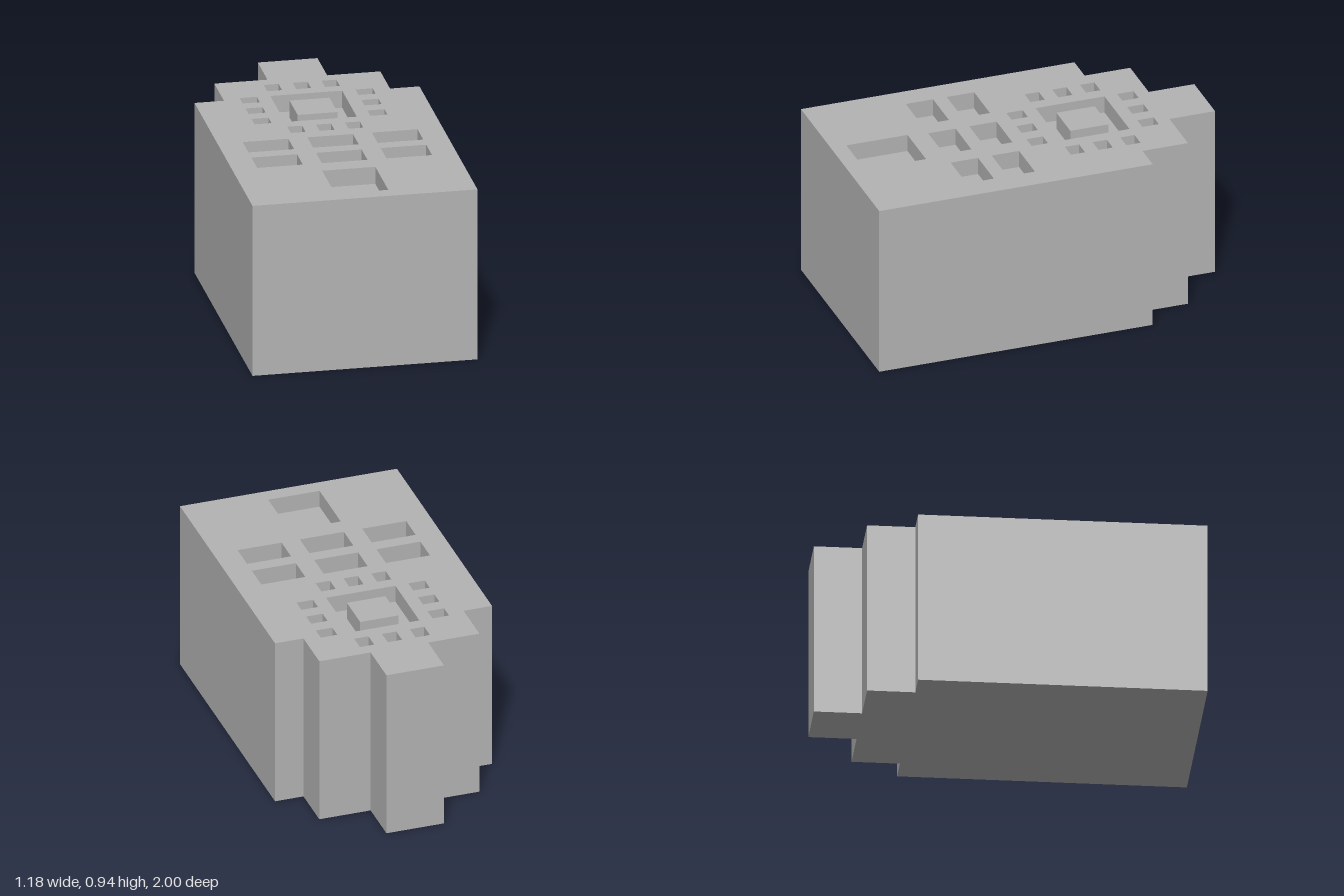
import * as THREE from 'three';

const HEIGHT = 0.94;
const RECESS = 0.094;

// Rectangle given by centre (x, z) and size, drawn in plan with shape y = -z
function rect(Type, x, z, w, d) {
  const p = new Type();
  p.moveTo(x - w / 2, -z - d / 2);
  p.lineTo(x + w / 2, -z - d / 2);
  p.lineTo(x + w / 2, -z + d / 2);
  p.lineTo(x - w / 2, -z + d / 2);
  p.closePath();
  return p;
}

// Stepped plan outline, mirrored from its +x half
function outline() {
  const half = [[0.592, 1], [0.592, -0.5], [0.437, -0.5], [0.437, -0.75], [0.157, -0.75], [0.157, -1]];
  const all = [...half, ...half.map(([x, z]) => [-x, z]).reverse()];
  return new THREE.Shape(all.map(([x, z]) => new THREE.Vector2(x, -z)));
}

export function createModel() {
  const group = new THREE.Group();
  const grey = new THREE.MeshStandardMaterial({ color: 0xb3b3b3 });
  grey.name = 'grey';

  // Extrude a plan shape upward from height y
  function slab(name, shape, y, depth) {
    const geo = new THREE.ExtrudeGeometry(shape, { depth, bevelEnabled: false });
    geo.rotateX(-Math.PI / 2);
    geo.translate(0, y, 0);
    const mesh = new THREE.Mesh(geo, grey);
    mesh.name = name;
    group.add(mesh);
  }

  const facade = outline();
  const cut = (x, z, w, d) => facade.holes.push(rect(THREE.Path, x, z, w, d));

  cut(0, 0.747, 0.28, 0.335); // doorway
  for (const x of [-0.34, 0, 0.34]) { // two rows of windows
    for (const z of [0.173, 0.398]) cut(x, z, 0.24, 0.15);
  }
  cut(0, -0.33, 0.378, 0.378); // square ring
  for (const s of [-0.152, 0, 0.152]) { // small squares around the ring
    for (const side of [-1, 1]) {
      cut(s, -0.33 + side * 0.304, 0.078, 0.09);
      cut(side * 0.305, -0.33 + s, 0.09, 0.078);
    }
  }

  slab('body', outline(), 0, HEIGHT - RECESS);
  slab('facade', facade, HEIGHT - RECESS, RECESS);
  slab('centreBlock', rect(THREE.Shape, 0, -0.33, 0.21, 0.21), HEIGHT - RECESS, RECESS);

  return group;
}
